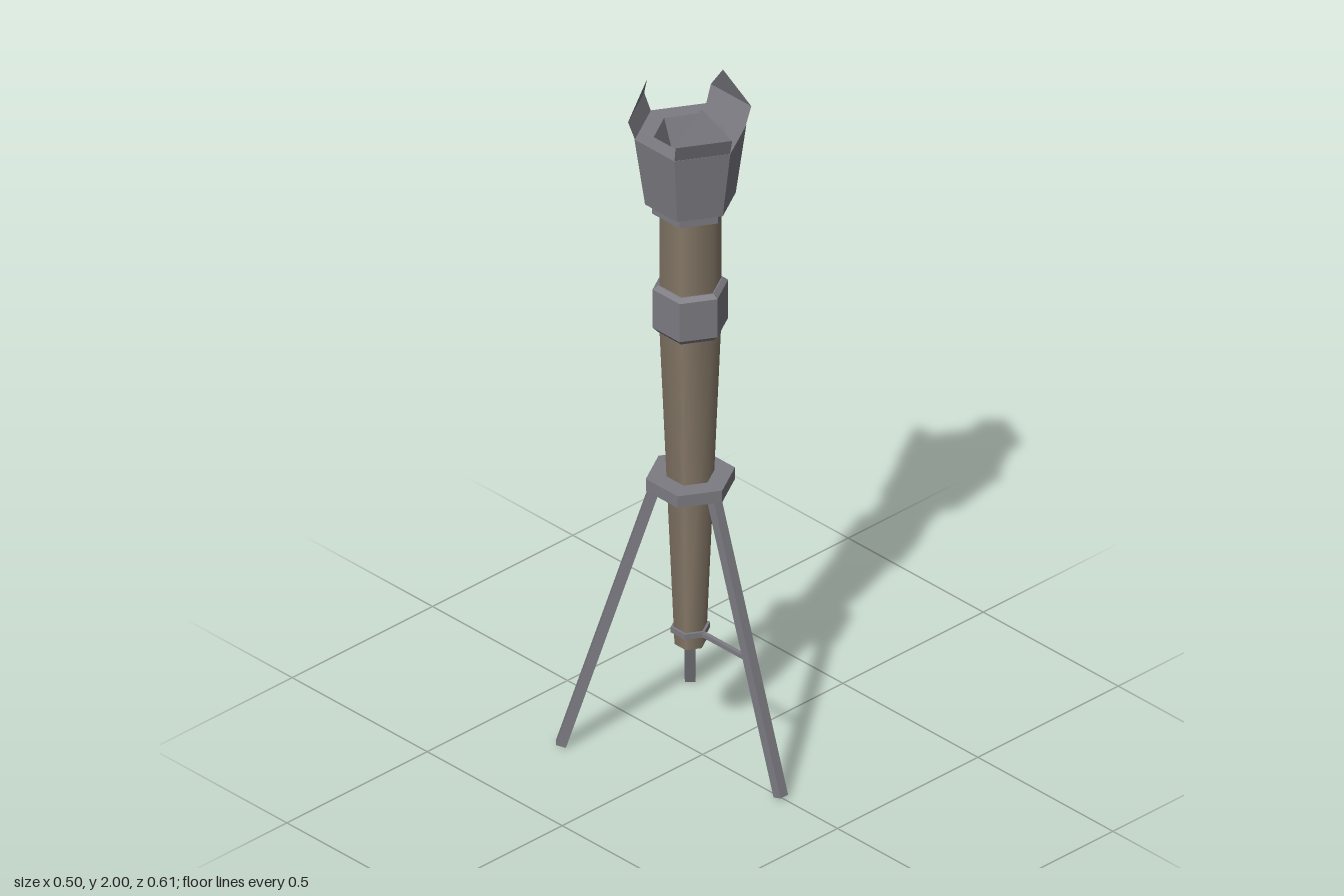
import * as THREE from 'three';

const metal = new THREE.MeshStandardMaterial({ color: 0x7c7b82 });
metal.name = 'grey iron';
const sheetMetal = new THREE.MeshStandardMaterial({ color: 0x7c7b82, side: THREE.DoubleSide });
sheetMetal.name = 'grey iron sheet';
const wood = new THREE.MeshStandardMaterial({ color: 0x857867 });
wood.name = 'brown wood';

const AXIS_Z = -0.045; // the shaft stands a little behind the centre

function add(parent, name, geometry, material) {
  const mesh = new THREE.Mesh(geometry, material);
  mesh.name = name;
  parent.add(mesh);
  return mesh;
}

function faceted(geometry) {
  const g = geometry.index ? geometry.toNonIndexed() : geometry;
  g.computeVertexNormals();
  return g;
}

// Six-sided turned part, corners towards front and back
function hexPart(profile) {
  return faceted(new THREE.LatheGeometry(profile.map(([r, y]) => new THREE.Vector2(r, y)), 6));
}

// Square bar between two points
function bar(parent, name, from, to, size) {
  const mesh = add(parent, name, new THREE.BoxGeometry(size, size, from.distanceTo(to)), metal);
  mesh.position.copy(from).add(to).multiplyScalar(0.5);
  mesh.lookAt(to);
  return mesh;
}

// Prong sheet: leans outward, then folds inward to a point
function prongGeometry() {
  const a = [0.127, 1.86, 0.0735], b = [0.127, 1.86, -0.0735];
  const c = [0.145, 1.91, -0.075], d = [0.145, 1.91, 0.075];
  const tip = [0.116, 2, 0];
  const g = new THREE.BufferGeometry();
  const corners = [a, b, c, a, c, d, d, c, tip].flat();
  g.setAttribute('position', new THREE.Float32BufferAttribute(corners, 3));
  g.computeVertexNormals();
  return g;
}

export function createModel() {
  const model = new THREE.Group();
  model.name = 'standingTorch';

  const torch = new THREE.Group();
  torch.name = 'torch';
  torch.position.z = AXIS_Z;
  model.add(torch);

  // Wooden shaft: tapered below, straight above
  const lower = add(torch, 'lowerShaft', new THREE.CylinderGeometry(0.082, 0.042, 0.96, 6), wood);
  lower.position.y = 0.8;
  const upper = add(torch, 'upperShaft', new THREE.CylinderGeometry(0.082, 0.082, 0.38, 6), wood);
  upper.position.y = 1.46;

  // Iron bands
  add(torch, 'gripBand', hexPart([[0, 1.27], [0.086, 1.27], [0.1, 1.285], [0.1, 1.4], [0.086, 1.41], [0, 1.41]]), metal);
  add(torch, 'crownCollar', hexPart([[0, 1.63], [0.102, 1.63], [0.102, 1.665], [0, 1.665]]), metal);
  add(torch, 'tripodPlate', hexPart([[0, 0.795], [0.118, 0.795], [0.118, 0.83], [0, 0.83]]), metal);
  add(torch, 'footRing', hexPart([[0, 0.357], [0.052, 0.357], [0.052, 0.373], [0, 0.373]]), metal);

  // Flared crown with a sunken bowl
  add(torch, 'crown', hexPart([
    [0, 1.66], [0.12, 1.66], [0.148, 1.86], [0.097, 1.86], [0.063, 1.76], [0, 1.76],
  ]), metal);

  // Prongs on every other side of the crown
  const prong = prongGeometry();
  for (let i = 0; i < 3; i++) {
    add(torch, 'prong', prong, sheetMetal).rotation.y = (i * Math.PI * 2) / 3;
  }

  // Tripod legs and brace
  const v = (x, y, z) => new THREE.Vector3(x, y, z);
  bar(model, 'frontLeg', v(0, 0.81, 0.037), v(0, 0.004, 0.29), 0.027);
  for (const s of [-1, 1]) {
    bar(model, s > 0 ? 'backLeftLeg' : 'backRightLeg', v(s * 0.054, 0.81, -0.109), v(s * 0.23, 0.004, -0.285), 0.027);
  }
  bar(model, 'brace', v(0, 0.365, -0.01), v(0, 0.365, 0.175), 0.012);

  return model;
}
